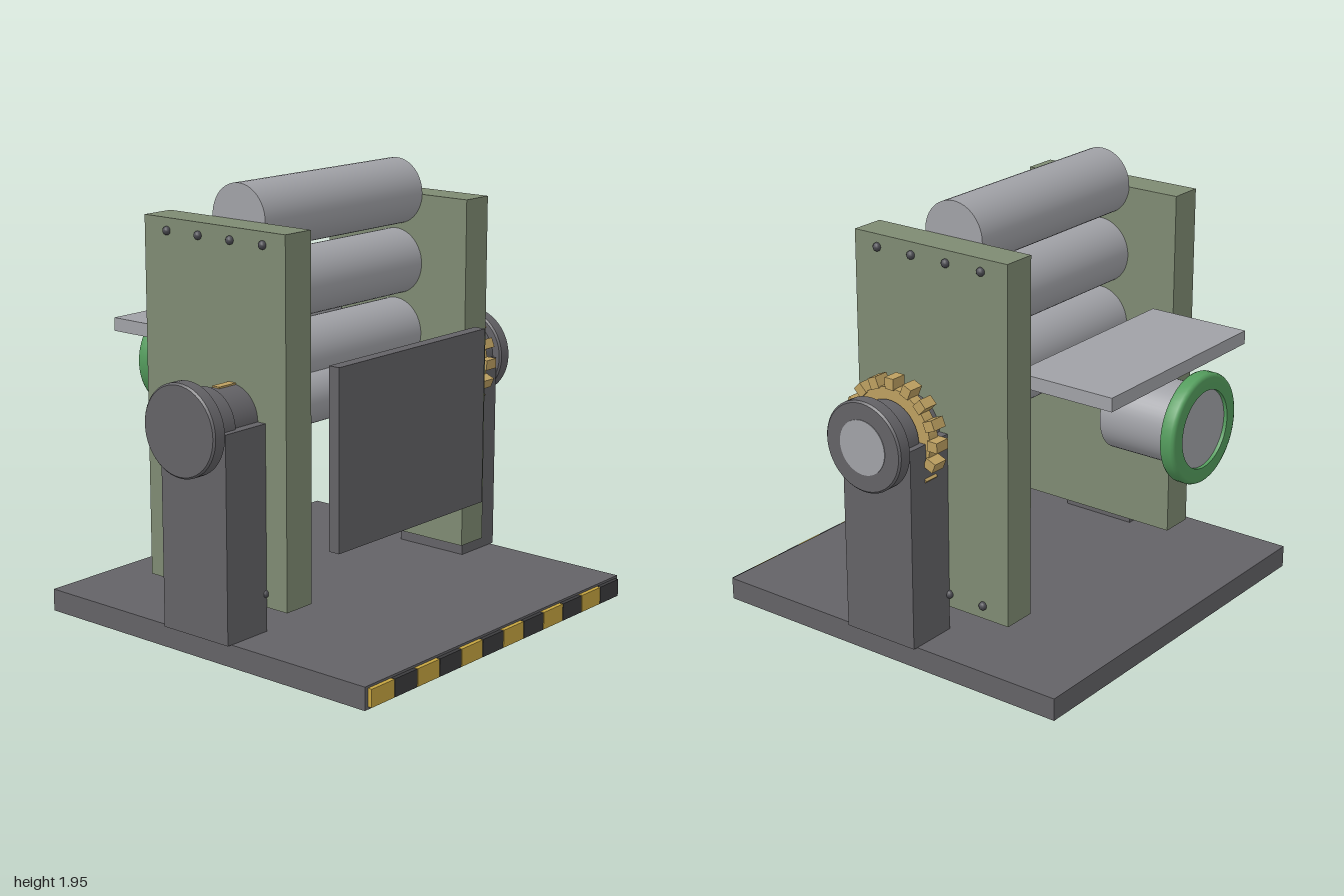
import * as THREE from 'three';

const mat = (name, color) => {
  const m = new THREE.MeshStandardMaterial({ color });
  m.name = name;
  return m;
};

export function createModel() {
  const darkSteel = mat('darkSteel', 0x636266);
  const lightSteel = mat('lightSteel', 0xa0a1a6);
  const sage = mat('sageGreen', 0x7e8a72);
  const green = mat('ringGreen', 0x539b5c);
  const brass = mat('brass', 0xbc9f60);
  const yellow = mat('hazardYellow', 0xc6a540);
  const black = mat('hazardBlack', 0x3b3b3d);
  const boltMat = mat('boltSteel', 0x4a4a50);

  const model = new THREE.Group();
  model.name = 'rollerMachine';

  const add = (name, geo, material, parent = model) => {
    const mesh = new THREE.Mesh(geo, material);
    mesh.name = name;
    parent.add(mesh);
    return mesh;
  };
  // Box given by its limits on each axis
  const box = (name, material, x0, x1, y0, y1, z0, z1, parent) => {
    const mesh = add(name, new THREE.BoxGeometry(x1 - x0, y1 - y0, z1 - z0), material, parent);
    mesh.position.set((x0 + x1) / 2, (y0 + y1) / 2, (z0 + z1) / 2);
    return mesh;
  };
  // Cylinder along x between two limits
  const rodX = (name, material, r, x0, x1, y, z, parent) => {
    const geo = new THREE.CylinderGeometry(r, r, x1 - x0, 48).rotateZ(-Math.PI / 2);
    const mesh = add(name, geo, material, parent);
    mesh.position.set((x0 + x1) / 2, y, z);
    return mesh;
  };

  const AXLE_Y = 1.0, AXLE_Z = 0.045;

  // Base plate with a hazard strip along the front edge
  box('basePlate', darkSteel, -0.893, 0.893, 0, 0.1, -0.853, 0.942);
  const strip = new THREE.Group();
  strip.name = 'hazardStrip';
  model.add(strip);
  const w = 0.146;
  for (let i = 0; i < 12; i++) {
    const x = -6 * w + i * w;
    box('hazardBlock', i % 2 ? black : yellow, x + 0.002, x + w - 0.002, 0.012, 0.09, 0.93, 0.961, strip);
  }

  // Side frames, bolts and bearing posts, mirrored
  for (const s of [1, -1]) {
    const side = new THREE.Group();
    side.name = s > 0 ? 'leftSide' : 'rightSide';
    model.add(side);
    const span = (a, b) => (s > 0 ? [a, b] : [-b, -a]);

    box('sideFrame', sage, ...span(0.52, 0.675), 0.205, 1.795, -0.452, 0.341, side);
    for (const y of [0.265, 1.74]) {
      for (const z of [0.22, 0.04, -0.14, -0.32]) {
        const bolt = add('frameBolt', new THREE.SphereGeometry(0.019, 12, 8), boltMat, side);
        bolt.position.set(s * 0.677, y, z);
      }
    }
    box('bearingPost', darkSteel, ...span(0.676, 0.915), 0.1, AXLE_Y, -0.138, 0.228, side);
    rodX('shaftSleeve', darkSteel, 0.14, ...span(0.67, 0.83), AXLE_Y, AXLE_Z, side);
    rodX('collar', darkSteel, 0.155, ...span(0.825, 0.935), AXLE_Y, AXLE_Z, side);

    // End disc with softened rims
    const h = 0.035, r = 0.2, c = 0.008;
    const disc = new THREE.LatheGeometry([
      [0, -h], [r - c, -h], [r - c, -h], [r, c - h], [r, c - h],
      [r, h - c], [r, h - c], [r - c, h], [r - c, h], [0, h],
    ].map(([a, b]) => new THREE.Vector2(a, b)), 48).rotateZ(-Math.PI / 2);
    add('endDisc', disc, darkSteel, side).position.set(s * 0.962, AXLE_Y, AXLE_Z);
  }

  // Pressing rollers and the through shaft
  for (const y of [1.8, 1.48, 1.16]) rodX('roller', lightSteel, 0.149, -0.52, 0.52, y, -0.056);
  rodX('throughShaft', lightSteel, 0.12, -0.9, 1.0, AXLE_Y, AXLE_Z);

  // Toothed wheel on the left end of the shaft
  const gear = new THREE.Group();
  gear.name = 'gear';
  gear.position.set(0.789, AXLE_Y, AXLE_Z);
  model.add(gear);
  rodX('gearBody', brass, 0.205, -0.027, 0.027, 0, 0, gear);
  for (let i = 0; i < 16; i++) {
    const a = (i * Math.PI) / 8;
    const tooth = add('gearTooth', new THREE.BoxGeometry(0.072, 0.05, 0.045), brass, gear);
    tooth.position.set(0, 0.224 * Math.cos(a), 0.224 * Math.sin(a));
    tooth.rotation.x = a;
  }

  // Key on the right end of the shaft
  box('shaftKey', brass, -0.775, -0.67, 1.1, 1.146, 0.023, 0.063);

  // Front guard and rear shelf
  box('frontGuard', darkSteel, -0.495, 0.495, 0.445, 1.24, 0.415, 0.47);
  box('rearShelf', lightSteel, -0.498, 0.498, 1.21, 1.27, -0.837, -0.36);

  // Rear motor drum with a green ring
  const motor = new THREE.Group();
  motor.name = 'motor';
  motor.position.set(-0.003, 1.004, 0);
  model.add(motor);
  const drum = add('motorDrum', new THREE.CylinderGeometry(0.174, 0.174, 0.395, 48).rotateX(Math.PI / 2), lightSteel, motor);
  drum.position.z = -0.7475;
  const ringProfile = [
    [0.17, -0.036], [0.222, -0.036], [0.234, -0.031], [0.239, -0.02], [0.239, 0.02],
    [0.234, 0.031], [0.222, 0.036], [0.17, 0.036], [0.17, -0.036],
  ].map(([a, b]) => new THREE.Vector2(a, b));
  const ring = add('motorRing', new THREE.LatheGeometry(ringProfile, 48).rotateX(Math.PI / 2), green, motor);
  ring.position.z = -0.925;

  return model;
}
